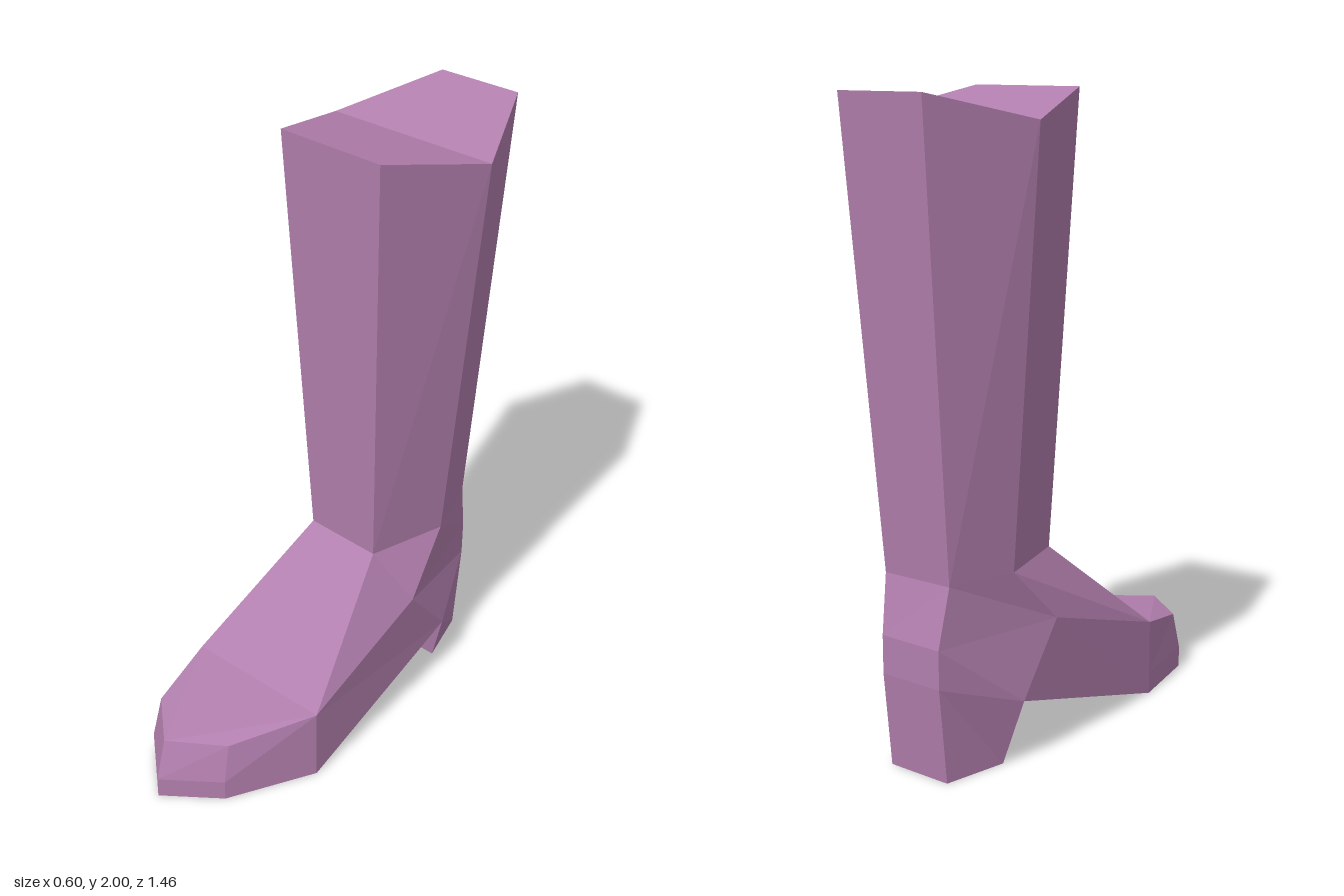
import * as THREE from 'three';

const mauve = new THREE.MeshStandardMaterial({ color: 0xb27fae });
mauve.name = 'mauve leather';
const black = new THREE.MeshStandardMaterial({ color: 0x292c2d });
black.name = 'black sole';

// Flat-faced mesh from a list of convex polygons (counter-clockwise from outside)
function polyMesh(name, polygons, material) {
  const pos = [];
  for (const p of polygons)
    for (let i = 1; i < p.length - 1; i++) pos.push(...p[0], ...p[i], ...p[i + 1]);
  const g = new THREE.BufferGeometry();
  g.setAttribute('position', new THREE.Float32BufferAttribute(pos, 3));
  g.computeVertexNormals();
  const mesh = new THREE.Mesh(g, material);
  mesh.name = name;
  return mesh;
}

export function createModel() {
  const boot = new THREE.Group();
  boot.name = 'boot';

  // Landmarks of each side: r is the +x side, l the -x side
  const r = {
    topFront: [0.21, 2, -0.04], topSide: [0.3, 1.92, -0.41], topBack: [0.12, 2, -0.73],
    ankleFront: [0.15, 0.6, -0.11], ankleSide: [0.2, 0.6, -0.38], ankleBack: [0.1, 0.6, -0.6],
    waist: [0.25, 0.42, -0.2], arch: [0.22, 0.2, -0.39],
    counterHigh: [0.08, 0.42, -0.64], counterLow: [0.08, 0.3, -0.64],
    heelFront: [0.155, 0, -0.42], heelBack: [0.08, 0, -0.61],
    ball: [0.3, 0, 0.29], ballWelt: [0.3, 0.07, 0.29], ballTop: [0.3, 0.25, 0.29],
    toe: [0.18, 0, 0.58], toeWelt: [0.18, 0.07, 0.58], toeTop: [0.17, 0.2, 0.55],
  };
  const l = {
    topFront: [-0.17, 2, -0.02], topSide: [-0.3, 1.92, -0.37], topBack: [-0.17, 2, -0.71],
    ankleFront: [-0.12, 0.6, -0.1], ankleSide: [-0.2, 0.6, -0.37], ankleBack: [-0.14, 0.6, -0.59],
    waist: [-0.23, 0.42, -0.2], arch: [-0.23, 0.2, -0.36],
    counterHigh: [-0.14, 0.42, -0.64], counterLow: [-0.14, 0.3, -0.64],
    heelFront: [-0.18, 0, -0.4], heelBack: [-0.14, 0, -0.61],
    ball: [-0.21, 0, 0.33], ballWelt: [-0.21, 0.07, 0.33], ballTop: [-0.21, 0.25, 0.33],
    toe: [-0.15, 0, 0.6], toeWelt: [-0.15, 0.07, 0.6], toeTop: [-0.15, 0.2, 0.56],
  };
  const tip = [0.02, 0, 0.725], tipWelt = [0.02, 0.07, 0.725], tipTop = [0.01, 0.2, 0.68];

  // Faces that exist on both sides; winding is reversed on the -x side
  const bothSides = (make) => [...make(r), ...make(l).map((p) => p.reverse())];

  // Six-sided shaft with a creased top
  boot.add(polyMesh('shaft', [
    ...bothSides((s) => [
      [s.ankleFront, s.ankleSide, s.topSide, s.topFront],
      [s.ankleSide, s.ankleBack, s.topBack, s.topSide],
    ]),
    [l.ankleFront, r.ankleFront, r.topFront, l.topFront],
    [r.ankleBack, l.ankleBack, l.topBack, r.topBack],
    [r.topFront, r.topSide, l.topSide, l.topFront],
    [r.topSide, r.topBack, l.topBack, l.topSide],
  ], mauve));

  // Instep, sides and heel counter
  boot.add(polyMesh('foot', [
    ...bothSides((s) => [
      [s.ankleFront, s.ballTop, s.waist, s.ankleSide],
      [s.ankleSide, s.waist, s.counterHigh, s.ankleBack],
      [s.waist, s.arch, s.counterLow, s.counterHigh],
      [s.ballTop, s.ball, s.arch, s.waist],
    ]),
    [r.ankleFront, l.ankleFront, l.ballTop, r.ballTop],
    [r.counterHigh, l.counterHigh, l.ankleBack, r.ankleBack],
    [r.counterLow, l.counterLow, l.counterHigh, r.counterHigh],
  ], mauve));

  // Pointed toe cap with a low welt line
  boot.add(polyMesh('toeCap', [
    ...bothSides((s) => [
      [s.ballTop, s.toeTop, s.toeWelt, s.ballWelt],
      [s.ballWelt, s.toeWelt, s.toe, s.ball],
      [s.toeTop, tipTop, tipWelt, s.toeWelt],
      [s.toeWelt, tipWelt, tip, s.toe],
      [s.ballTop, tipTop, s.toeTop],
    ]),
    [r.ballTop, l.ballTop, tipTop],
  ], mauve));

  // Heel block
  boot.add(polyMesh('heel', [
    ...bothSides((s) => [[s.arch, s.heelFront, s.heelBack, s.counterLow]]),
    [r.heelBack, l.heelBack, l.counterLow, r.counterLow],
    [r.arch, l.arch, l.heelFront, r.heelFront],
  ], mauve));

  // Undersides
  boot.add(polyMesh('sole', [
    [l.ball, l.arch, r.arch, r.ball],
    [tip, l.toe, l.ball, r.ball, r.toe],
  ], black));
  boot.add(polyMesh('heelTip', [
    [l.heelFront, l.heelBack, r.heelBack, r.heelFront],
  ], black));

  return boot;
}
